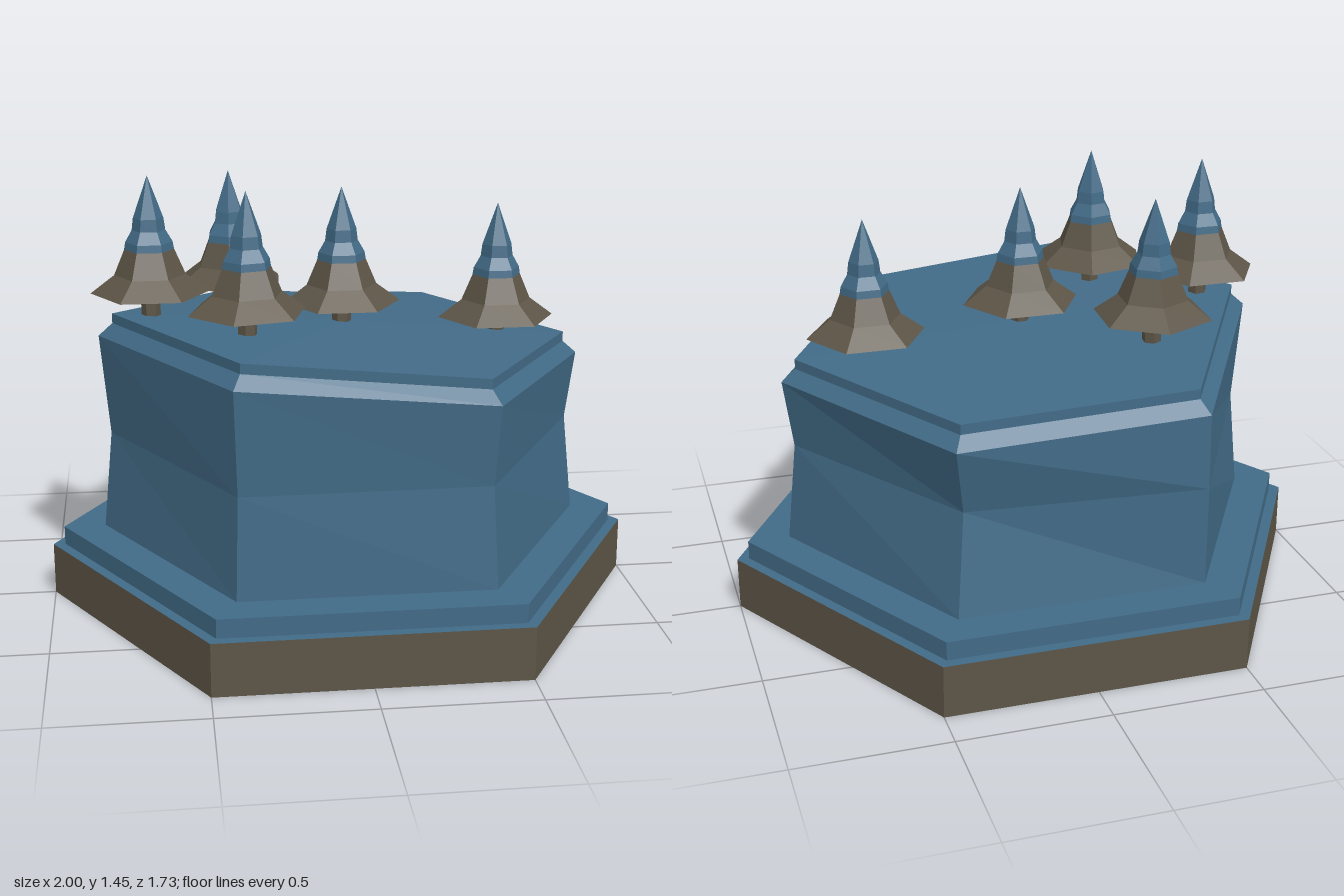
import * as THREE from 'three';

const SIDES = 6;

// Faceted shading: unshared corners with one normal per face
function faceted(geometry) {
  const g = geometry.index ? geometry.toNonIndexed() : geometry;
  g.computeVertexNormals();
  return g;
}

function addMesh(parent, name, geometry, material) {
  const mesh = new THREE.Mesh(faceted(geometry), material);
  mesh.name = name;
  parent.add(mesh);
  return mesh;
}

// Hexagonal prism with a corner on +x
function hexPrism(radius, y0, y1) {
  return new THREE.CylinderGeometry(radius, radius, y1 - y0, SIDES, 1, false, Math.PI / 2)
    .translate(0, (y0 + y1) / 2, 0);
}

// Hexagonal lathe with a corner on +x
function hexLathe(profile) {
  return new THREE.LatheGeometry(profile.map(([r, y]) => new THREE.Vector2(r, y)), SIDES, Math.PI / 2);
}

// Plateau block: stacked hexagon rings with a pinched waist and a sloping top
function plateauGeometry() {
  // Corners: right, front right, front left, left, back left, back right
  const top = [0.88, 0.915, 0.99, 0.99, 0.9, 0.875];
  const waist = [0.785, 0.79, 0.8, 0.787, 0.82, 0.75];
  const rings = [
    () => [0.82, 0.24],
    (i) => [waist[i], 0.575],
    (i) => [0.817, top[i] - 0.075],
    (i) => [0.77, top[i] - 0.033],
    (i) => [0.77, top[i]],
  ];
  const positions = [];
  const index = [];
  for (const ring of rings) {
    for (let i = 0; i < SIDES; i++) {
      const [r, y] = ring(i);
      const a = (i * Math.PI) / 3;
      positions.push(r * Math.cos(a), y, r * Math.sin(a));
    }
  }
  const center = positions.length / 3;
  positions.push(0, 0.945, 0);
  for (let i = 0; i < SIDES; i++) {
    const n = (i + 1) % SIDES;
    for (let j = 0; j < rings.length - 1; j++) {
      const lo = j * SIDES;
      const hi = lo + SIDES;
      index.push(lo + i, hi + i, hi + n, lo + i, hi + n, lo + n);
    }
    const last = (rings.length - 1) * SIDES;
    index.push(center, last + n, last + i);
  }
  const g = new THREE.BufferGeometry();
  g.setAttribute('position', new THREE.Float32BufferAttribute(positions, 3));
  g.setIndex(index);
  return g;
}

// Conifer measured downward from its tip
function createTree(blue, brown) {
  const tree = new THREE.Group();
  tree.name = 'tree';
  addMesh(tree, 'trunk', hexPrism(0.032, -0.48, -0.4), brown);
  addMesh(tree, 'lowerBranches', hexLathe([
    [0, -0.42], [0.198, -0.39], [0.118, -0.33], [0.082, -0.245],
  ]), brown);
  addMesh(tree, 'upperBranches', hexLathe([
    [0.082, -0.245], [0.078, -0.22], [0.055, -0.18], [0.05, -0.14], [0, 0],
  ]), blue);
  return tree;
}

export function createModel() {
  const blue = new THREE.MeshStandardMaterial({ color: 0x426b87 });
  blue.name = 'slate blue';
  const brown = new THREE.MeshStandardMaterial({ color: 0x5d5547 });
  brown.name = 'earth brown';

  const model = new THREE.Group();
  model.name = 'forestPlateauTile';

  // Tile: brown sides and bottom, blue top
  addMesh(model, 'base', hexPrism(1, 0, 0.177), [brown, blue, brown]);
  addMesh(model, 'step', hexPrism(0.96, 0.177, 0.24), blue);
  addMesh(model, 'plateau', plateauGeometry(), blue);

  // Trees: x, tip height, z, turn in degrees
  const trees = [
    [-0.64, 1.45, 0, 0],
    [-0.36, 1.413, -0.3, 26],
    [-0.335, 1.437, 0.26, 14],
    [0, 1.4, 0, 0],
    [0.53, 1.335, 0, 0],
  ];
  for (const [x, y, z, turn] of trees) {
    const tree = createTree(blue, brown);
    tree.position.set(x, y, z);
    tree.rotation.y = THREE.MathUtils.degToRad(turn);
    model.add(tree);
  }
  return model;
}
